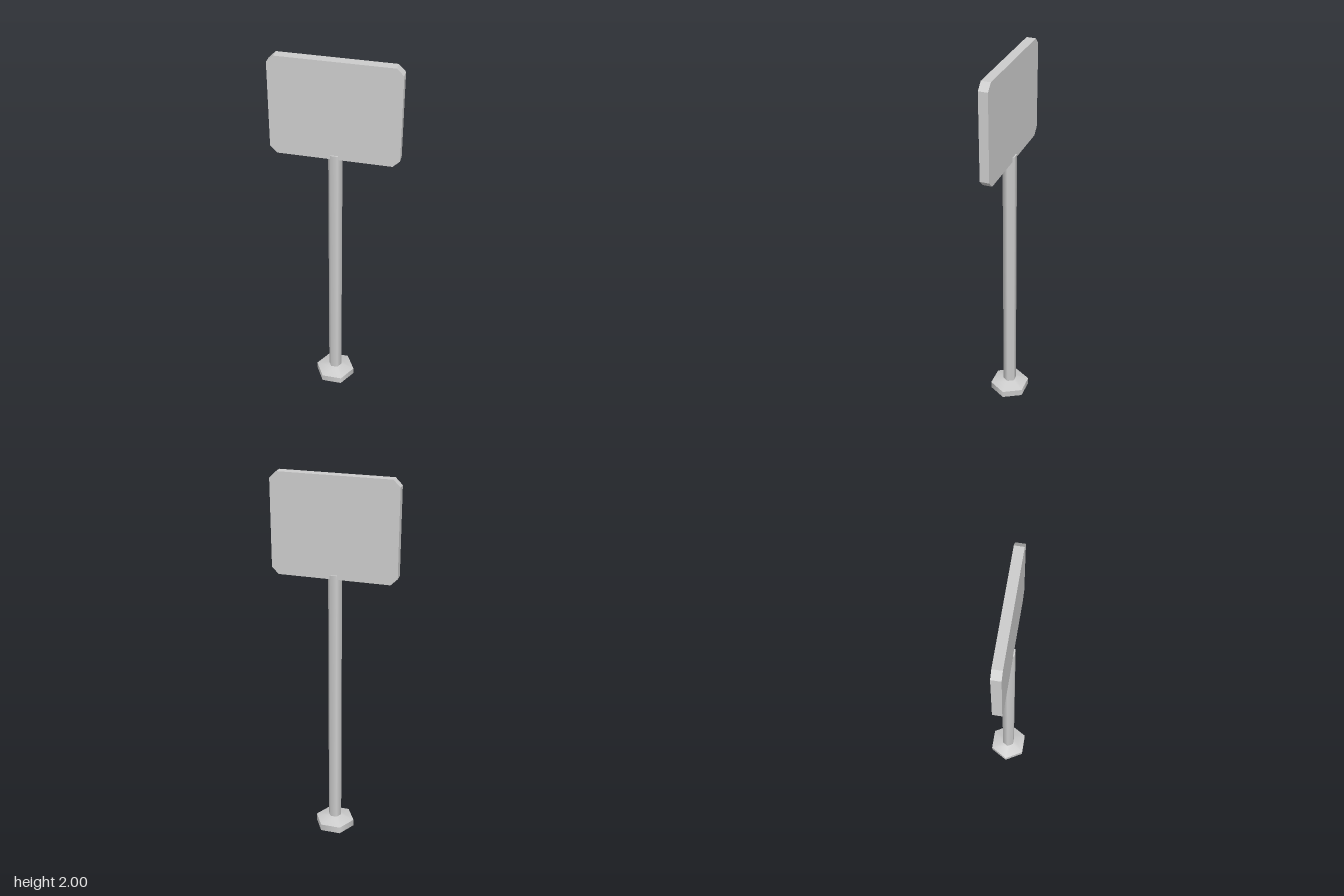
import * as THREE from 'three';

export function createModel() {
  const model = new THREE.Group();
  const grey = new THREE.MeshStandardMaterial({ color: 0xcccccc });
  grey.name = 'light grey';

  const add = (name, geometry, y, z = 0) => {
    const mesh = new THREE.Mesh(geometry, grey);
    mesh.name = name;
    mesh.position.set(0, y, z);
    model.add(mesh);
  };

  // Six-sided prism or frustum with corners on the x axis
  const hex = (top, bottom, height, open = false) =>
    new THREE.CylinderGeometry(top, bottom, height, 6, 1, open, Math.PI / 6);

  // Foot: short drum with a sloping shoulder up to the pole
  add('foot', hex(0.108, 0.108, 0.038), 0.019);
  add('footShoulder', hex(0.036, 0.108, 0.024, true), 0.05);

  // Pole, its top overlapping the lower edge of the board
  add('pole', hex(0.036, 0.036, 1.44), 0.78);

  // Sign board with cut corners
  const w = 0.323, h = 0.261, c = 0.035, depth = 0.048;
  const outline = new THREE.Shape([
    [-w + c, -h], [w - c, -h], [w, -h + c], [w, h - c],
    [w - c, h], [-w + c, h], [-w, h - c], [-w, -h + c],
  ].map(([x, y]) => new THREE.Vector2(x, y)));
  const board = new THREE.ExtrudeGeometry(outline, { depth, bevelEnabled: false });
  board.translate(0, 0, -depth / 2);
  add('signBoard', board, 2 - h);

  return model;
}
